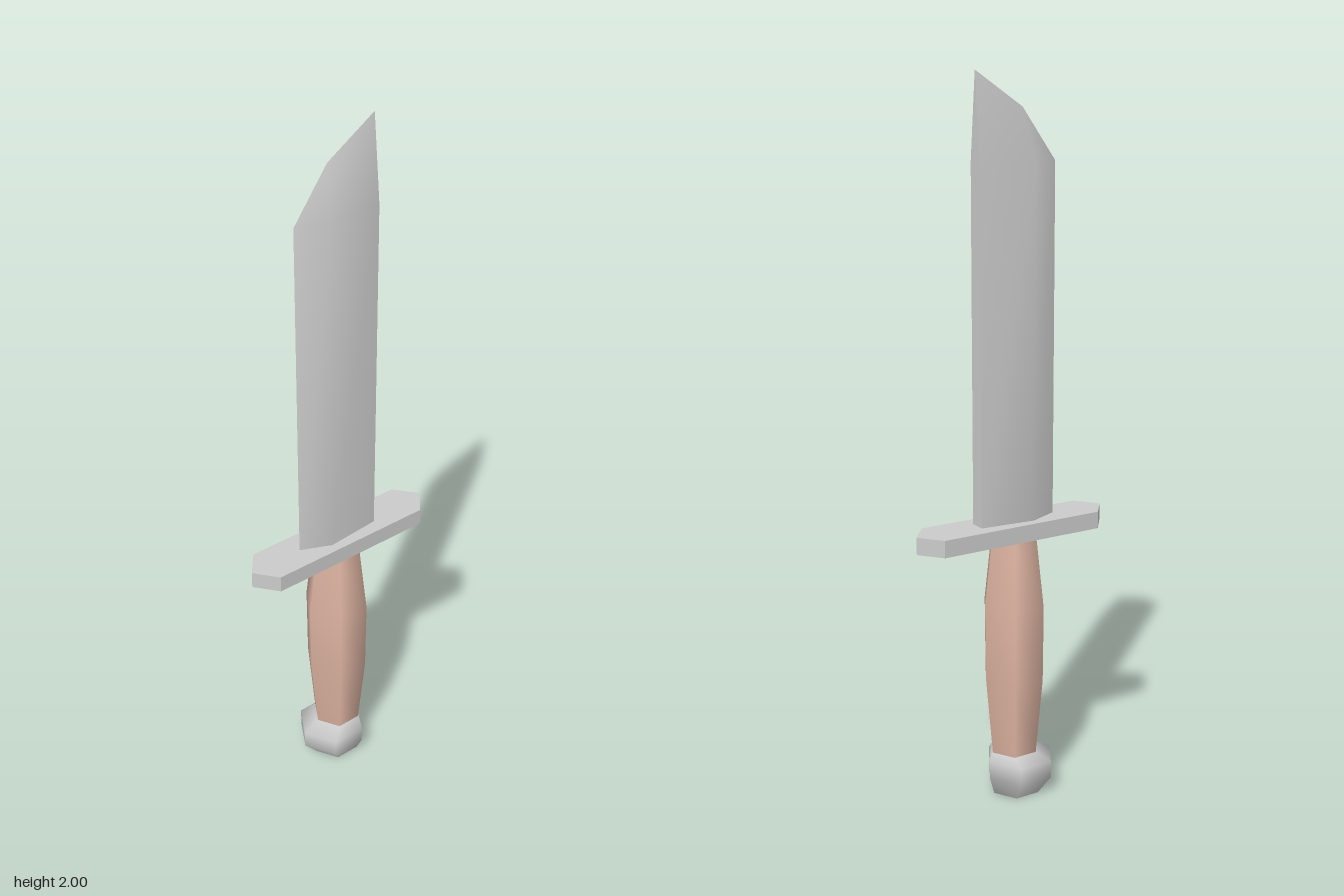
import * as THREE from 'three';
import { toCreasedNormals } from 'three/addons/utils/BufferGeometryUtils.js';

const metal = new THREE.MeshStandardMaterial({ color: 0xcccccc });
const wood = new THREE.MeshStandardMaterial({ color: 0xdfb5a3 });
const SIDES = 6;

// Smooth six-sided turned part; rings are [y, radius, centreX] from bottom to top.
function turned(name, rings, material) {
  const group = new THREE.Group();
  group.name = name;
  const profile = rings.map(([y, r]) => new THREE.Vector2(r, y));
  const geo = new THREE.LatheGeometry(profile, SIDES, Math.PI / 2);
  const pos = geo.attributes.position;
  for (let i = 0; i < pos.count; i++) {
    pos.setX(i, pos.getX(i) + rings[i % rings.length][2]);
  }
  const side = new THREE.Mesh(geo, material);
  side.name = name + 'Side';
  group.add(side);
  // Flat end caps
  [[rings[0], 1, 'Bottom'], [rings[rings.length - 1], -1, 'Top']].forEach(([[y, r, cx], dir, end]) => {
    const cap = new THREE.Mesh(new THREE.CircleGeometry(r, SIDES).rotateX(dir * Math.PI / 2), material);
    cap.position.set(cx, y, 0);
    cap.name = name + end;
    group.add(cap);
  });
  return group;
}

// Blade: wedge section with a flat spine, closing to a slanted clipped point.
function makeBlade() {
  const section = [[-0.135, 0], [-0.05, 0.037], [0.108, 0.023], [0.108, -0.023], [-0.05, -0.037]];
  const n = section.length;
  const points = [];
  for (const y of [0.8, 1.77]) section.forEach(([x, z]) => points.push(x, y, z));
  points.push(-0.034, 1.908, 0, 0.108, 2, 0);
  const [E, F, S, SB, FB, M, T] = [5, 6, 7, 8, 9, 10, 11];
  const index = [];
  for (let i = 0; i < n; i++) {
    const j = (i + 1) % n;
    index.push(i, j, j + n, i, j + n, i + n);
  }
  index.push(E, F, M, F, T, M, F, S, T, S, SB, T, SB, FB, T, FB, M, T, FB, E, M);
  index.push(0, 2, 1, 0, 3, 2, 0, 4, 3);
  const geo = new THREE.BufferGeometry();
  geo.setAttribute('position', new THREE.Float32BufferAttribute(points, 3));
  geo.setIndex(index);
  const blade = new THREE.Mesh(toCreasedNormals(geo, 0.6), metal);
  blade.name = 'blade';
  return blade;
}

// Crossguard: long flat hexagonal plate.
function makeGuard() {
  const outline = [[-0.295, 0], [-0.245, -0.063], [0.245, -0.063], [0.295, 0], [0.245, 0.063], [-0.245, 0.063]];
  const shape = new THREE.Shape(outline.map(([x, z]) => new THREE.Vector2(x, z)));
  const geo = new THREE.ExtrudeGeometry(shape, { depth: 0.048, bevelEnabled: false });
  geo.rotateX(-Math.PI / 2);
  const guard = new THREE.Mesh(geo, metal);
  guard.position.y = 0.759;
  guard.name = 'crossguard';
  return guard;
}

export function createModel() {
  const model = new THREE.Group();
  model.name = 'knife';
  model.add(
    makeBlade(),
    makeGuard(),
    turned('grip', [
      [0.125, 0.07, -0.008],
      [0.35, 0.091, -0.008],
      [0.565, 0.093, -0.008],
      [0.76, 0.07, -0.008],
    ], wood),
    // Pommel bulges towards the cutting edge
    turned('pommel', [
      [0, 0.072, -0.014],
      [0.05, 0.1, -0.028],
      [0.1, 0.1, -0.028],
      [0.127, 0.071, -0.008],
    ], metal),
  );
  return model;
}
